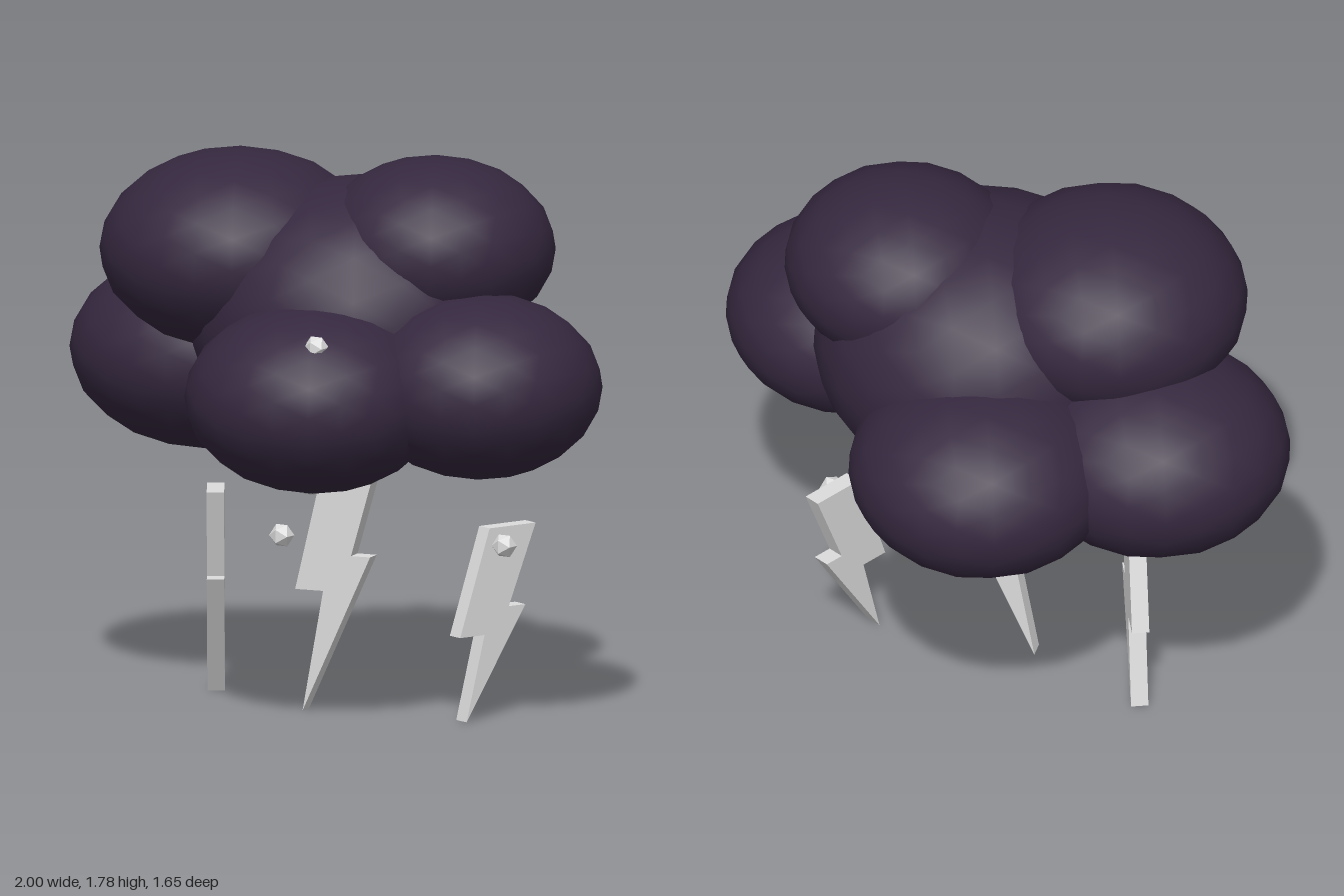
import * as THREE from 'three';

export function createModel() {
  const model = new THREE.Group();
  const cloudMat = new THREE.MeshStandardMaterial({ color: 0x35283f });
  cloudMat.name = 'stormPurple';
  const paleMat = new THREE.MeshStandardMaterial({ color: 0xdcdcdc, flatShading: true });
  paleMat.name = 'paleGrey';

  // Cloud: overlapping flattened balls [name, centre, radii]
  const cloud = new THREE.Group();
  cloud.name = 'cloud';
  const ball = new THREE.IcosahedronGeometry(1, 3);
  const puffs = [
    ['corePuff', [0.07, 1.24, 0], [0.54, 0.46, 0.53]],
    ['frontPuff', [0.185, 1.065, 0.42], [0.41, 0.3, 0.405]],
    ['backPuff', [-0.135, 1.075, -0.41], [0.425, 0.31, 0.42]],
    ['leftPuff', [0.605, 1.1, 0.115], [0.39, 0.293, 0.385]],
    ['rightPuff', [-0.56, 1.08, -0.07], [0.44, 0.315, 0.42]],
    ['upperRightPuff', [-0.31, 1.45, 0.12], [0.438, 0.318, 0.438]],
    ['upperLeftPuff', [0.32, 1.49, -0.055], [0.383, 0.288, 0.372]],
  ];
  for (const [name, centre, radii] of puffs) {
    const puff = new THREE.Mesh(ball, cloudMat);
    puff.name = name;
    puff.position.set(...centre);
    puff.scale.set(...radii);
    cloud.add(puff);
  }
  model.add(cloud);

  // Lightning bolts: zigzag plates standing on their tips
  const outline = [[0, 0], [0.23, 0.58], [0.165, 0.58], [0.27, 1], [0.09, 1], [-0.025, 0.445], [0.07, 0.445]];
  const depth = 0.055;
  function addBolt(name, height, x, z, yawDegrees) {
    const shape = new THREE.Shape(outline.map(([u, v]) => new THREE.Vector2(u, v * height)));
    const geometry = new THREE.ExtrudeGeometry(shape, { depth, bevelEnabled: false });
    geometry.translate(0, 0, -depth / 2);
    const bolt = new THREE.Mesh(geometry, paleMat);
    bolt.name = name;
    bolt.position.set(x, 0, z);
    bolt.rotation.y = THREE.MathUtils.degToRad(yawDegrees);
    model.add(bolt);
  }
  addBolt('rightBolt', 0.68, -0.485, -0.01, -56);
  addBolt('middleBolt', 0.87, -0.06, 0.11, 12);
  addBolt('leftBolt', 0.61, 0.465, 0.01, 71);

  // Raindrops, one of them poking out of the front puff
  const dropGeometry = new THREE.IcosahedronGeometry(0.04, 0);
  const drops = [[0.06, 0.755, 0.265], [0.003, 0.595, 0.335], [0.56, 0.555, -0.09], [0.345, 1.272, 0.64]];
  drops.forEach((p, i) => {
    const drop = new THREE.Mesh(dropGeometry, paleMat);
    drop.name = `raindrop${i + 1}`;
    drop.position.set(...p);
    model.add(drop);
  });

  return model;
}
